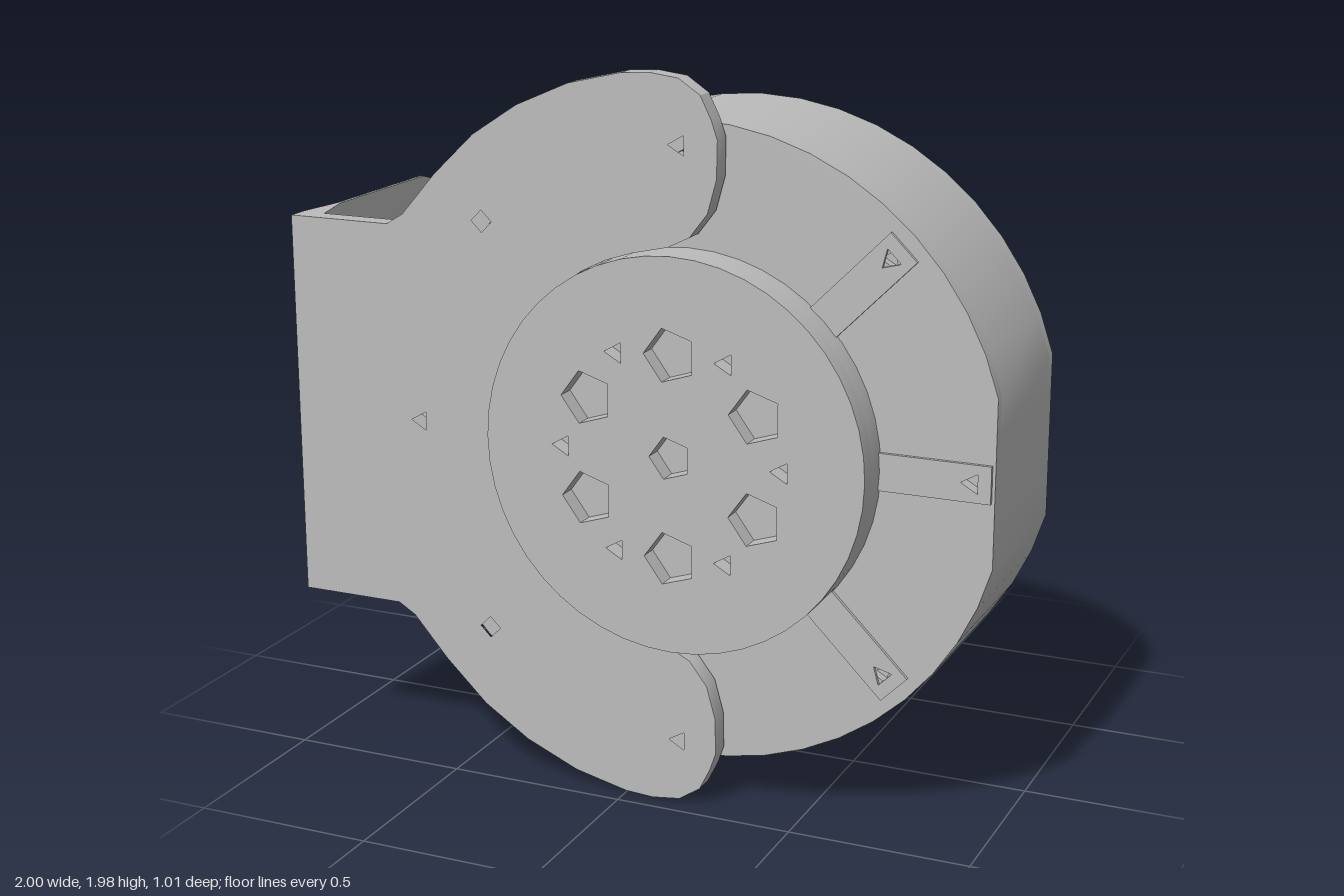
import * as THREE from 'three';
import { toCreasedNormals } from 'three/addons/utils/BufferGeometryUtils.js';

const CX = 0.16, CY = 0.99;

export function createModel() {
  const model = new THREE.Group();
  const grey = new THREE.MeshStandardMaterial({ color: 0xbcbcbc });
  grey.name = 'metal grey';

  const add = (name, geometry) => {
    const mesh = new THREE.Mesh(toCreasedNormals(geometry, 0.5), grey);
    mesh.name = name;
    model.add(mesh);
  };
  const shapeOf = (points) => new THREE.Shape(points.map(([x, y]) => new THREE.Vector2(x, y)));
  const extrude = (shape, depth) => new THREE.ExtrudeGeometry(shape, { depth, bevelEnabled: false });
  // flat plate between two z values
  const slab = (name, shape, z0, z1) => add(name, extrude(shape, z1 - z0).translate(0, 0, z0));
  // circle around the motor axis, clipped to a half width and half height
  const disc = (r, halfW = r, halfH = r, n = 48) => shapeOf(Array.from({ length: n }, (_, i) => {
    const a = (i / n) * Math.PI * 2;
    return [CX + THREE.MathUtils.clamp(r * Math.cos(a), -halfW, halfW),
      CY + THREE.MathUtils.clamp(r * Math.sin(a), -halfH, halfH)];
  }));
  const hole = (shape, x, y, r, sides) => {
    const pts = Array.from({ length: sides }, (_, i) => {
      const a = Math.PI - (i / sides) * Math.PI * 2;
      return new THREE.Vector2(x + r * Math.cos(a), y + r * Math.sin(a));
    });
    shape.holes.push(new THREE.Path(pts));
  };
  const ringOfHoles = (shape, count, start, radius, r, sides) => {
    for (let i = 0; i < count; i++) {
      const a = start + (i / count) * Math.PI * 2;
      hole(shape, CX + radius * Math.cos(a), CY + radius * Math.sin(a), r, sides);
    }
  };

  // main drum, with shallow screw holes in its front and rear covers
  slab('drum', disc(0.868, 0.838), -0.08, 0.355);
  const cover = disc(0.868, 0.838);
  ringOfHoles(cover, 8, 0, 0.78, 0.03, 3);
  slab('rearCover', cover, -0.11, -0.08);
  slab('frontCover', cover, 0.355, 0.383);

  // raised radial ribs on the open side of the front cover, each with a screw hole
  for (const angle of [-Math.PI / 4, 0, Math.PI / 4]) {
    const rib = shapeOf([[0.52, -0.05], [0.83, -0.05], [0.83, 0.05], [0.52, 0.05]]);
    hole(rib, 0.78, 0, 0.03, 3);
    add('rib', extrude(rib, 0.01).rotateZ(angle).translate(CX, CY, 0.383));
  }

  // front hub with bolt pockets
  slab('hubBase', disc(0.535), 0.383, 0.45);
  const hubFace = disc(0.535);
  hole(hubFace, CX, CY, 0.06, 5);
  ringOfHoles(hubFace, 6, Math.PI / 6, 0.275, 0.075, 5);
  ringOfHoles(hubFace, 6, 0, 0.31, 0.032, 3);
  slab('hubFace', hubFace, 0.45, 0.503);

  // rear housing, flat at top and bottom, with open connector sockets
  slab('rearHousing', disc(0.53, 0.525, 0.455), -0.255, -0.11);
  for (const side of [-1, 1]) {
    const wall = (w, h, x, v) => add('connectorSocket',
      new THREE.BoxGeometry(w, h, 0.14).translate(x, CY + side * v, -0.18));
    wall(0.5, 0.02, 0.22, 0.535);
    for (const x of [-0.02, 0.22, 0.46]) wall(0.025, 0.09, x, 0.49);
  }

  // bracket front plate: upper half outline, hub cut-out, mirrored lower half
  const upper = [[-0.93, 1.53], [-0.7, 1.53], [-0.65, 1.56], [-0.55, 1.675], [-0.43, 1.79], [-0.3, 1.875],
    [-0.15, 1.94], [0, 1.975], [0.08, 1.98], [0.16, 1.97], [0.22, 1.93], [0.25, 1.87], [0.267, 1.82],
    [0.265, 1.72], [0.24, 1.63], [0.19, 1.565], [0.13, 1.535]];
  const arc = [];
  for (let i = 1; i < 20; i++) {
    const a = Math.PI / 2 + 0.1 + (i / 20) * (Math.PI - 0.2);
    arc.push([CX + 0.538 * Math.cos(a), CY + 0.538 * Math.sin(a)]);
  }
  const lower = upper.map(([x, y]) => [x, 2 * CY - y]).reverse();
  const plate = shapeOf([...upper, ...arc, ...lower]);
  for (const [x, y] of [[-0.61, 0], [-0.41, 0.57], [-0.41, -0.57], [0.16, 0.81], [0.16, -0.81]])
    hole(plate, x, CY + y, 0.03, x === -0.41 ? 4 : 3);
  slab('bracketPlate', plate, 0.39, 0.447);

  // bend between plate and flange, drawn in x and -z and raised along y
  const bend = extrude(shapeOf([[-0.93, -0.447], [-0.93, -0.39], [-0.97, -0.24], [-0.98, -0.24],
    [-1, -0.38], [-1, -0.447]]), 1.08);
  add('bracketBend', bend.rotateX(-Math.PI / 2).translate(0, 0.45, 0));

  // thin side flange with rounded free end and six holes, drawn in z and y
  const edge = [[0.25, 1.53], [-0.22, 1.53], [-0.29, 1.51], [-0.37, 1.46], [-0.44, 1.38],
    [-0.485, 1.29], [-0.51, 1.18]];
  const flange = shapeOf([...edge, ...edge.map(([z, y]) => [z, 2 * CY - y]).reverse()]);
  for (let i = 0; i < 6; i++) {
    const a = Math.PI / 6 + (i * Math.PI) / 3;
    hole(flange, -0.04 + 0.31 * Math.cos(a), CY + 0.31 * Math.sin(a), 0.035, 5);
  }
  add('bracketFlange', extrude(flange, 0.01).rotateY(-Math.PI / 2).translate(-0.97, 0, 0));

  return model;
}
